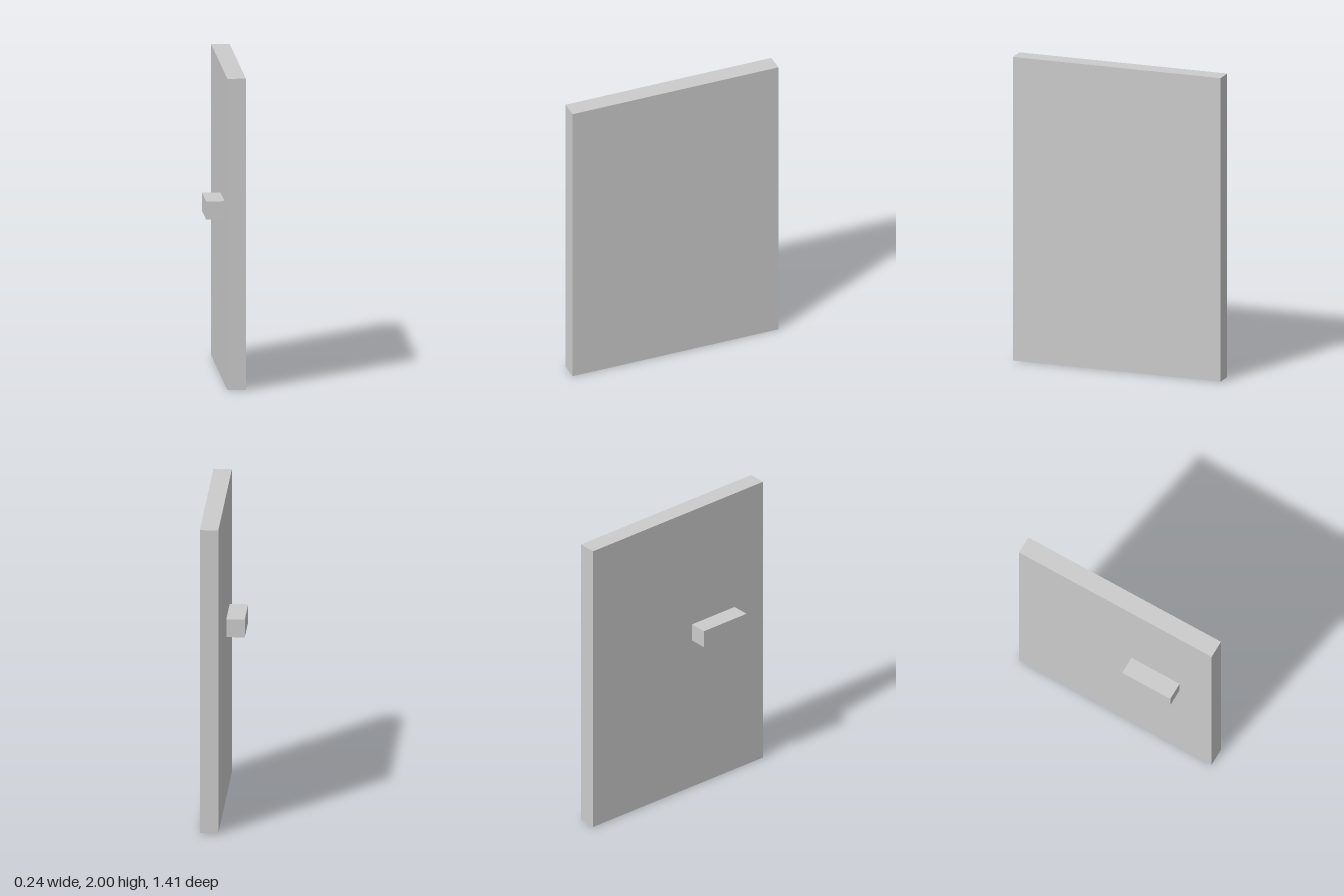
import * as THREE from 'three';

// Proportions follow one unit: 17 units make the full height
const U = 2 / 17;

export function createModel() {
  const group = new THREE.Group();
  group.name = 'door';
  const material = new THREE.MeshStandardMaterial({ color: 0xcccccc, flatShading: true });

  // Box given by its size and centre, in units
  const addBox = (name, size, centre) => {
    const mesh = new THREE.Mesh(new THREE.BoxGeometry(...size.map((s) => s * U)), material);
    mesh.name = name;
    mesh.position.set(...centre.map((c) => c * U));
    group.add(mesh);
  };

  // Upright slab of the door
  addBox('doorPanel', [1, 17, 12], [0.5, 8.5, 0]);
  // Bar handle on one face, near the front edge
  addBox('handle', [1, 1, 3], [-0.5, 9.5, 2.5]);

  return group;
}
